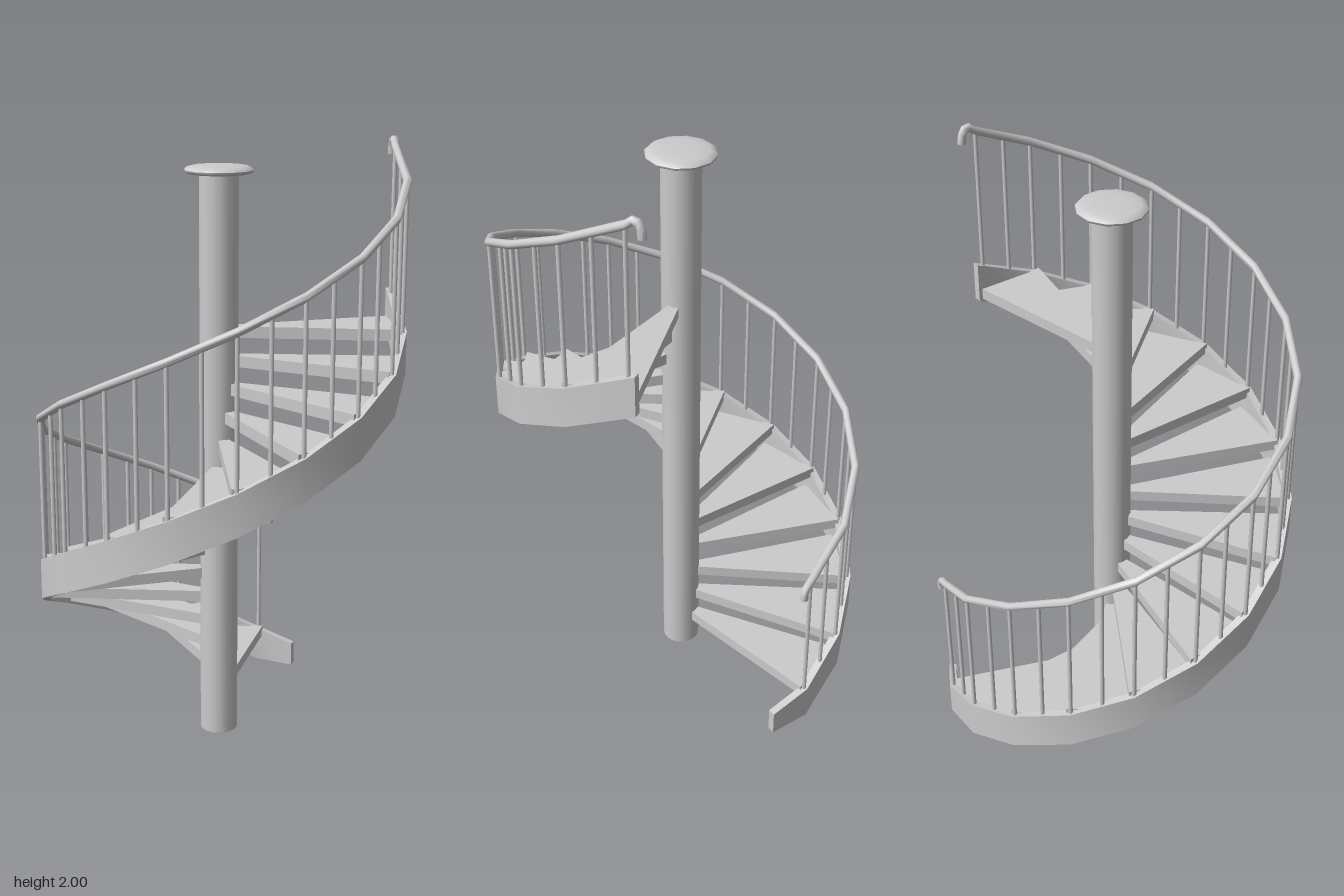
import * as THREE from 'three';
import { toCreasedNormals } from 'three/addons/utils/BufferGeometryUtils.js';

const RAD = Math.PI / 180;
const RISE = 0.0914 / 20; // climb per degree
const FIRST = -20, LAST = 280, STEP = 20;
const material = new THREE.MeshStandardMaterial({ color: 0xcccccc });

const out = (a) => new THREE.Vector3(-Math.sin(a * RAD), 0, -Math.cos(a * RAD));
const along = (a) => new THREE.Vector3(-Math.cos(a * RAD), 0, Math.sin(a * RAD));
const UP = new THREE.Vector3(0, 1, 0);
const railY = (a) => 1.51 + (a - 180) * RISE;
const stringerTop = (a) => 1.035 + (a - 180) * RISE;

function addMesh(parent, name, geometry) {
  const mesh = new THREE.Mesh(geometry, material);
  mesh.name = name;
  parent.add(mesh);
  return mesh;
}

// Joins equal-sized rings of points into a closed solid with end caps
function loft(rings, crease) {
  const n = rings[0].length, index = [], last = (rings.length - 1) * n;
  for (let i = 0; i < rings.length - 1; i++) {
    for (let j = 0; j < n; j++) {
      const k = (j + 1) % n, a = i * n, b = a + n;
      index.push(a + j, a + k, b + k, a + j, b + k, b + j);
    }
  }
  for (let j = 1; j < n - 1; j++) {
    index.push(0, j + 1, j, last, last + j, last + j + 1);
  }
  const geometry = new THREE.BufferGeometry().setFromPoints(rings.flat());
  geometry.setIndex(index);
  return toCreasedNormals(geometry, crease);
}

// Outer stringer: rectangular band following an 18-sided helix
function stringerGeometry() {
  const ring = (a, shift, dir, top, bottom, outer, inner, normal) => {
    const corner = (r, y) => out(normal).multiplyScalar(r).addScaledVector(dir, shift).setY(y);
    return [corner(outer, top), corner(outer, bottom), corner(inner, bottom), corner(inner, top)];
  };
  const rings = [];
  // floor end, cut square and resting on the ground
  const apothem = Math.cos(10 * RAD), half = 0.6 * Math.sin(10 * RAD);
  rings.push(ring(0, -(0.142 - half), along(-30), 0.085, 0, 0.6 * apothem, 0.574 * apothem, -30));
  for (let a = FIRST; a <= LAST; a += STEP) {
    const top = stringerTop(a);
    rings.push(ring(a, 0, along(a), top, Math.max(0, top - 0.135), 0.6, 0.574, a));
  }
  // upper end runs straight on past the last bend
  const top = stringerTop(LAST + 2.4);
  rings.push(ring(0, half + 0.024, along(270), top, top - 0.135, 0.6 * apothem, 0.574 * apothem, 270));
  return loft(rings, 0.6);
}

// Handrail: round section along the helix, with a down-turned hook at each end
function handrailGeometry() {
  const R = 0.0135, SIDES = 10, RADIUS = 0.586;
  const ring = (p, o, n, wide, tall) => Array.from({ length: SIDES }, (_, j) => {
    const t = (j / SIDES) * Math.PI * 2;
    return p.clone().addScaledVector(o, R * wide * Math.cos(t)).addScaledVector(n, -R * tall * Math.sin(t));
  });
  // hook points: distance along, height, slope in degrees
  const hook = (a, face, points) => points.map(([s, h, slope]) => {
    const p = out(a).multiplyScalar(RADIUS).addScaledVector(along(face), s).setY(railY(a) + h);
    const n = UP.clone().multiplyScalar(Math.cos(slope * RAD)).addScaledVector(along(face), -Math.sin(slope * RAD));
    return ring(p, out(face), n, 1, 1);
  });
  const rings = hook(FIRST, -10, [
    [-0.038, -0.048, 90], [-0.038, -0.03, 80], [-0.031, -0.013, 55], [-0.016, -0.003, 30],
  ]);
  for (let a = FIRST; a <= LAST; a += STEP) {
    rings.push(ring(out(a).multiplyScalar(RADIUS).setY(railY(a)), out(a), UP, 1.015, 1.08));
  }
  rings.push(...hook(LAST, 270, [
    [0.024, 0.018, 18], [0.039, 0.014, -30], [0.048, -0.003, -68], [0.051, -0.03, -85],
  ]));
  return loft(rings, 0.9);
}

// Wedge-shaped tread, narrow at the column
function treadGeometry() {
  const shape = new THREE.Shape([
    new THREE.Vector2(0.05, -0.016), new THREE.Vector2(0.572, -0.117),
    new THREE.Vector2(0.572, 0.117), new THREE.Vector2(0.05, 0.016),
  ]);
  return new THREE.ExtrudeGeometry(shape, { depth: 0.037, bevelEnabled: false }).rotateX(-Math.PI / 2);
}

export function createModel() {
  const model = new THREE.Group();
  model.name = 'spiralStaircase';

  // Central column and its rounded cap
  const column = new THREE.CylinderGeometry(0.063, 0.063, 1.9, 16);
  addMesh(model, 'column', column).position.y = 0.95;
  const profile = [[0, 1.895], [0.1, 1.895], [0.109, 1.899], [0.111, 1.906], [0.105, 1.913], [0.09, 1.918], [0.06, 1.921], [0, 1.922]];
  const cap = new THREE.LatheGeometry(profile.map(([r, y]) => new THREE.Vector2(r, y)), 12, Math.PI / 12);
  addMesh(model, 'columnCap', toCreasedNormals(cap, 0.9));

  // Treads
  const treads = new THREE.Group();
  treads.name = 'treads';
  model.add(treads);
  const tread = treadGeometry();
  for (let k = 0; k < 15; k++) {
    const mesh = addMesh(treads, 'tread', tread);
    mesh.position.y = 0.095 + 0.0913 * k;
    mesh.rotation.y = (-10 + STEP * k + 90) * RAD;
  }

  addMesh(model, 'stringer', stringerGeometry());
  addMesh(model, 'handrail', handrailGeometry());

  // Balusters at every bend and midway between bends
  const balusters = new THREE.Group();
  balusters.name = 'balusters';
  model.add(balusters);
  const bar = new THREE.CylinderGeometry(0.007, 0.007, 1, 8);
  for (let a = FIRST; a <= LAST; a += STEP / 2) {
    const r = 0.586 * (a % STEP === 0 ? 1 : Math.cos(10 * RAD));
    const bottom = stringerTop(a) - 0.02, top = railY(a);
    const mesh = addMesh(balusters, 'baluster', bar);
    mesh.position.copy(out(a).multiplyScalar(r)).setY((bottom + top) / 2);
    mesh.scale.y = top - bottom;
  }
  return model;
}
